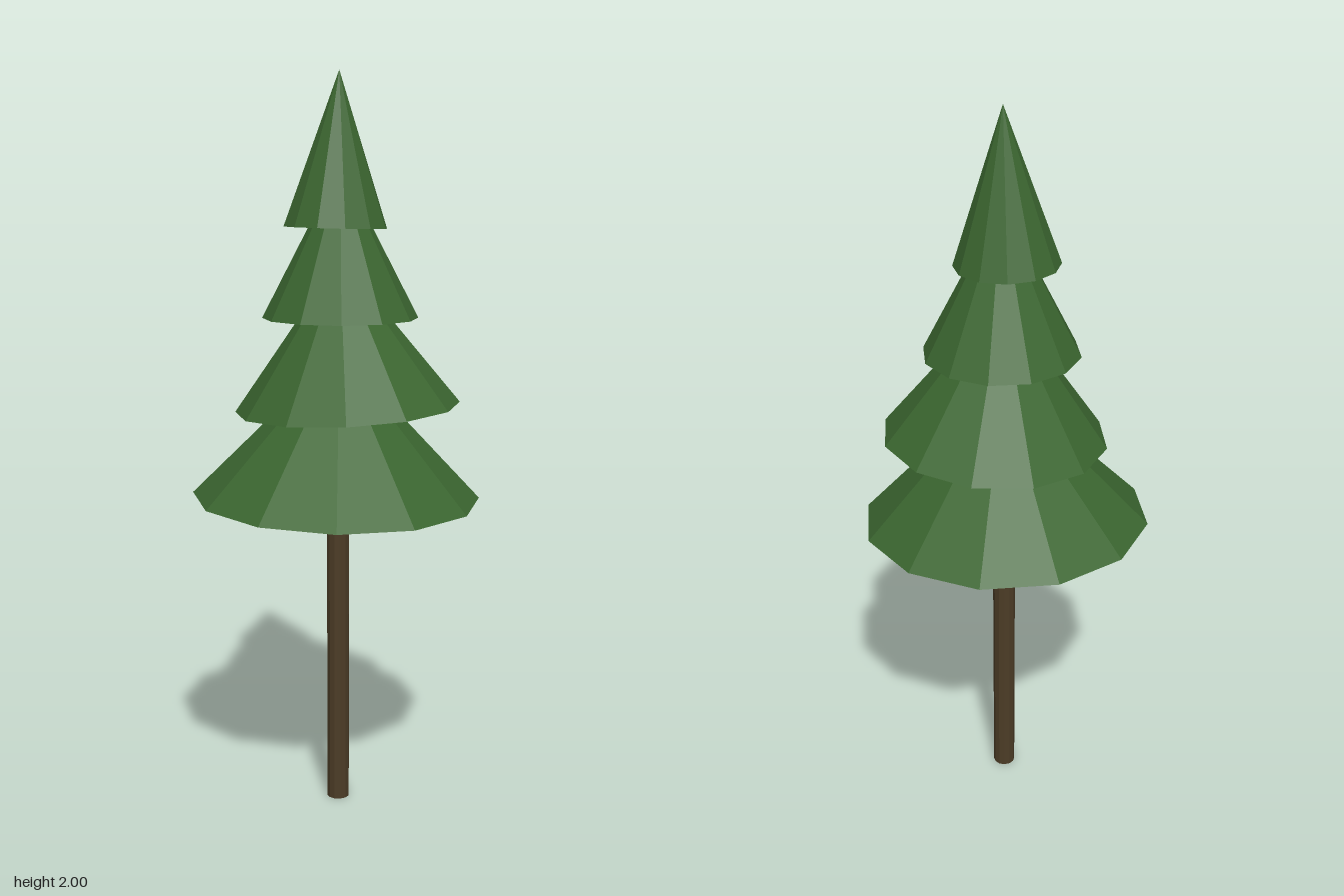
import * as THREE from 'three';

const SIDES = 12;
const TIER_HEIGHT = 0.4;
const RECESS = 0.06;

// Faceted cone with a shallow hollow underside
function makeTier({ radius, centre, spin, tiltX, tiltZ }, material) {
  const profile = [
    new THREE.Vector2(0, RECESS),
    new THREE.Vector2(radius, 0),
    new THREE.Vector2(0, TIER_HEIGHT),
  ];
  const geometry = new THREE.LatheGeometry(profile, SIDES).rotateY(spin);
  const mesh = new THREE.Mesh(geometry, material);
  mesh.position.set(...centre);
  mesh.rotation.set(tiltX, 0, tiltZ);
  return mesh;
}

export function createModel() {
  const tree = new THREE.Group();
  tree.name = 'pineTree';

  const bark = new THREE.MeshStandardMaterial({ color: 0x4c3c26, flatShading: true });
  const needles = new THREE.MeshStandardMaterial({ color: 0x3b6630, flatShading: true });

  // Trunk, ending inside the lowest tier
  const trunkHeight = 1.0;
  const trunk = new THREE.Mesh(new THREE.CylinderGeometry(0.031, 0.031, trunkHeight, SIDES), bark);
  trunk.name = 'trunk';
  trunk.position.set(0.007, trunkHeight / 2, 0.003);
  tree.add(trunk);

  // Four foliage tiers, each slightly tilted and turned
  const tiers = [
    { radius: 0.391, centre: [0, 0.878, 0], spin: -0.195, tiltX: 0.015, tiltZ: -0.028 },
    { radius: 0.303, centre: [0.03, 1.123, -0.005], spin: -0.215, tiltX: 0.02, tiltZ: 0.045 },
    { radius: 0.208, centre: [0.012, 1.363, 0.001], spin: -0.187, tiltX: 0, tiltZ: 0 },
    { radius: 0.138, centre: [0.003, 1.6, 0.013], spin: -0.02, tiltX: -0.02, tiltZ: -0.018 },
  ];
  tiers.forEach((tier, i) => {
    const mesh = makeTier(tier, needles);
    mesh.name = `foliageTier${i + 1}`;
    tree.add(mesh);
  });

  return tree;
}
